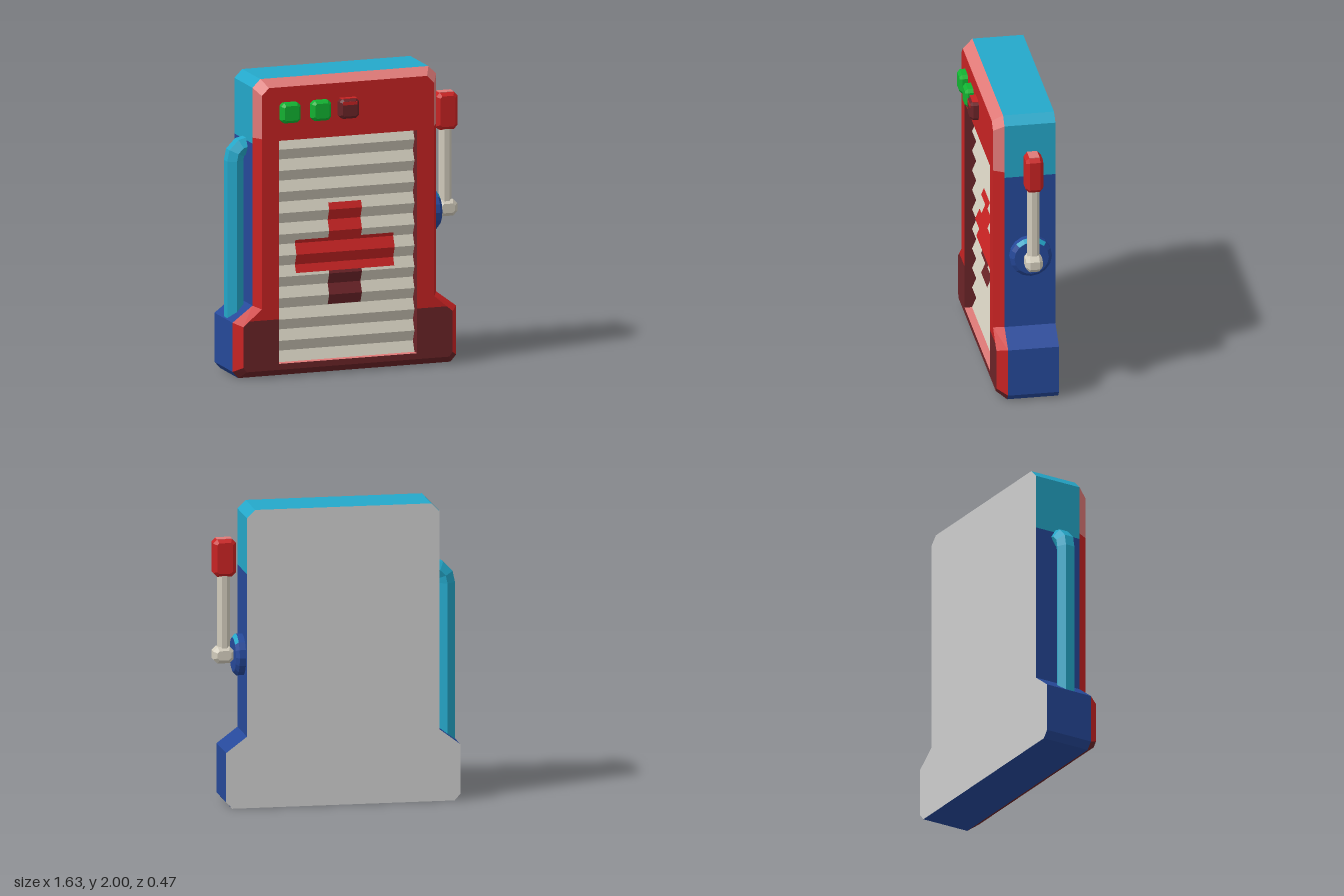
import * as THREE from 'three';

const mat = (name, color) => {
  const m = new THREE.MeshStandardMaterial({ color });
  m.name = name;
  return m;
};

export function createModel() {
  const red = mat('red', 0xc92323), darkRed = mat('dark red', 0x6c2428), pink = mat('pink', 0xe07a78);
  const cyan = mat('cyan', 0x24a8ca), blue = mat('blue', 0x26499a), grey = mat('grey', 0xcccccc);
  const cream = mat('cream', 0xd4cebe), green = mat('green', 0x12b432);

  const model = new THREE.Group();
  model.name = 'cabinet';
  const body = new THREE.Group(); // symmetric about its own x = 0
  body.name = 'body';
  body.position.x = -0.035;
  model.add(body);

  const add = (name, geo, material, x = 0, y = 0, z = 0) => {
    const mesh = new THREE.Mesh(geo, material);
    mesh.name = name;
    mesh.position.set(x, y, z);
    body.add(mesh);
    return mesh;
  };
  const flat = (geo) => {
    const g = geo.toNonIndexed();
    g.computeVertexNormals();
    return g;
  };
  // Flat faces from a list of four-cornered quads
  const quads = (list) => {
    const pos = list.flatMap(([a, b, c, d]) => [a, b, c, a, c, d].flat());
    const g = new THREE.BufferGeometry();
    g.setAttribute('position', new THREE.Float32BufferAttribute(pos, 3));
    g.computeVertexNormals();
    return g;
  };
  const plate = (pts) => new THREE.ShapeGeometry(new THREE.Shape(pts.map(([x, y]) => new THREE.Vector2(x, y))));
  const mirror = (pts) => [...pts, ...pts.map(([x, y]) => [-x, y]).reverse()];
  // Box with every edge chamfered
  const chamferBox = (w, h, d, c) => {
    const a = w / 2 - c, b = h / 2 - c, k = c * 0.6;
    const shape = new THREE.Shape([[a, k - b], [a, b - k], [a - k, b], [k - a, b], [-a, b - k], [-a, k - b], [k - a, -b], [a - k, -b]]
      .map(([x, y]) => new THREE.Vector2(x, y)));
    return new THREE.ExtrudeGeometry(shape, {
      depth: d - 2 * c, bevelThickness: c, bevelSize: c, bevelSegments: 1,
    }).center();
  };

  // Body shell: outer outline for the sides, inset outline for the front
  const zBack = -0.23, zSide = 0.11, zFront = 0.18;
  const outer = mirror([[0.745, 0], [0.785, 0.045], [0.785, 0.375], [0.645, 0.48],
    [0.645, 1.57], [0.645, 1.61], [0.645, 1.945], [0.59, 2]]);
  const inner = mirror([[0.71, 0.05], [0.735, 0.08], [0.735, 0.355], [0.605, 0.465],
    [0.605, 1.57], [0.605, 1.61], [0.605, 1.9], [0.555, 1.95]]);
  const parts = { lowerSides: [], upperSides: [], lowerBevel: [], middleBevel: [], upperBevel: [] };
  outer.forEach((p, i) => {
    const j = (i + 1) % outer.length, q = outer[j], mid = (p[1] + q[1]) / 2;
    parts[mid > 1.57 ? 'upperSides' : 'lowerSides']
      .push([[...p, zBack], [...q, zBack], [...q, zSide], [...p, zSide]]);
    parts[mid > 1.61 ? 'upperBevel' : mid < 0.04 ? 'lowerBevel' : 'middleBevel']
      .push([[...p, zSide], [...q, zSide], [...inner[j], zFront], [...inner[i], zFront]]);
  });
  add('lowerSides', quads(parts.lowerSides), blue);
  add('upperSides', quads(parts.upperSides), cyan);
  add('lowerBevel', quads(parts.lowerBevel), darkRed);
  add('middleBevel', quads(parts.middleBevel), red);
  add('upperBevel', quads(parts.upperBevel), pink);
  add('backPanel', plate(outer).rotateY(Math.PI), grey, 0, 0, zBack);

  // Front frame around the shutter opening
  const hx = 0.485, y0 = 0.09, y1 = 1.59, split = 0.39;
  add('upperFrame', plate(mirror([[hx, y1], [hx, split], [0.694, split], [0.605, 0.465],
    [0.605, 1.9], [0.555, 1.95]])), red, 0, 0, zFront);
  add('lowerFrame', plate(mirror([[hx, y0], [hx, split], [0.694, split], [0.735, 0.355],
    [0.735, 0.08], [0.71, 0.05]].reverse())), darkRed, 0, 0, zFront);
  const hole = [[-hx, y0], [hx, y0], [hx, y1], [-hx, y1]];
  const walls = hole.map((p, i) => {
    const q = hole[(i + 1) % 4];
    return [[...p, zFront], [...q, zFront], [...q, 0.1], [...p, 0.1]];
  });
  add('openingSill', quads(walls.slice(0, 1)), pink);
  add('openingWalls', quads(walls.slice(1)), darkRed);

  // Corrugated shutter; the cross follows the same folds
  const step = (y1 - y0) / 21;
  const foldZ = (y) => 0.1 + 0.03 * (1 - Math.abs((((y1 - y) / step) % 2) - 1));
  const folded = (w, low, high, lift) => {
    const list = [];
    for (let k = 0; k < 21; k++) {
      const a = Math.min(high, y1 - k * step), b = Math.max(low, y1 - (k + 1) * step);
      if (a - b < 1e-5) continue;
      const za = foldZ(a) + lift, zb = foldZ(b) + lift;
      list.push([[-w, b, zb], [w, b, zb], [w, a, za], [-w, a, za]]);
    }
    return quads(list);
  };
  add('shutter', folded(hx, y0, y1, 0), cream);
  add('crossTop', folded(0.115, 0.9, 1.135, 0.004), red);
  add('crossBar', folded(0.345, 0.68, 0.9, 0.004), red);
  add('crossBottom', folded(0.115, 0.45, 0.68, 0.004), darkRed);

  // Buttons
  [[-0.415, green], [-0.2, green], [-0.005, darkRed]].forEach(([x, m], i) =>
    add('button' + (i + 1), chamferBox(0.135, 0.135, 0.08, 0.018), m, x, 1.78, 0.195));
  add('buttonFrontPatch', new THREE.BoxGeometry(0.1, 0.022, 0.004), red, -0.005, 1.818, 0.235);
  add('buttonTopPatch', new THREE.BoxGeometry(0.11, 0.004, 0.045), red, -0.005, 1.847, 0.198);

  // Lever mount: drum with a bevelled rim, partly cyan on top
  const zLever = -0.06;
  const lathe = (pts, n, start, len) => flat(new THREE.LatheGeometry(
    pts.map(([r, h]) => new THREE.Vector2(r, h)), n, start, len)).rotateZ(-Math.PI / 2);
  const rim = [[0.14, 0.042], [0.115, 0.064]], q = Math.PI / 4;
  add('mountDrum', lathe([[0.14, -0.01], rim[0]], 16, 0, 8 * q), blue, 0.645, 1, zLever);
  add('mountFace', lathe([rim[1], [0, 0.064]], 16, 0, 8 * q), blue, 0.645, 1, zLever);
  add('mountRim', lathe(rim, 12, 7 * q, 6 * q), blue, 0.645, 1, zLever);
  add('mountRimHighlight', lathe(rim, 4, 5 * q, 2 * q), cyan, 0.645, 1, zLever);

  // Lever
  add('leverHub', chamferBox(0.14, 0.11, 0.11, 0.024), cream, 0.775, 1.005, zLever);
  add('leverRod', flat(new THREE.CylinderGeometry(0.043, 0.043, 0.54, 8).rotateY(Math.PI / 8)),
    cream, 0.77, 1.28, zLever);
  add('leverGrip', chamferBox(0.15, 0.25, 0.115, 0.022), red, 0.77, 1.658, zLever);
  add('leverGripTop', new THREE.BoxGeometry(0.1, 0.004, 0.068), pink, 0.77, 1.784, zLever);

  // Hose bending into the left wall
  const path = new THREE.CurvePath();
  const v = (x, y) => new THREE.Vector3(x, y, -0.045);
  path.add(new THREE.LineCurve3(v(-0.72, 0.3), v(-0.72, 1.43)));
  path.add(new THREE.QuadraticBezierCurve3(v(-0.72, 1.43), v(-0.72, 1.53), v(-0.62, 1.535)));
  add('hose', flat(new THREE.TubeGeometry(path, 24, 0.065, 6)), cyan);

  return model;
}
